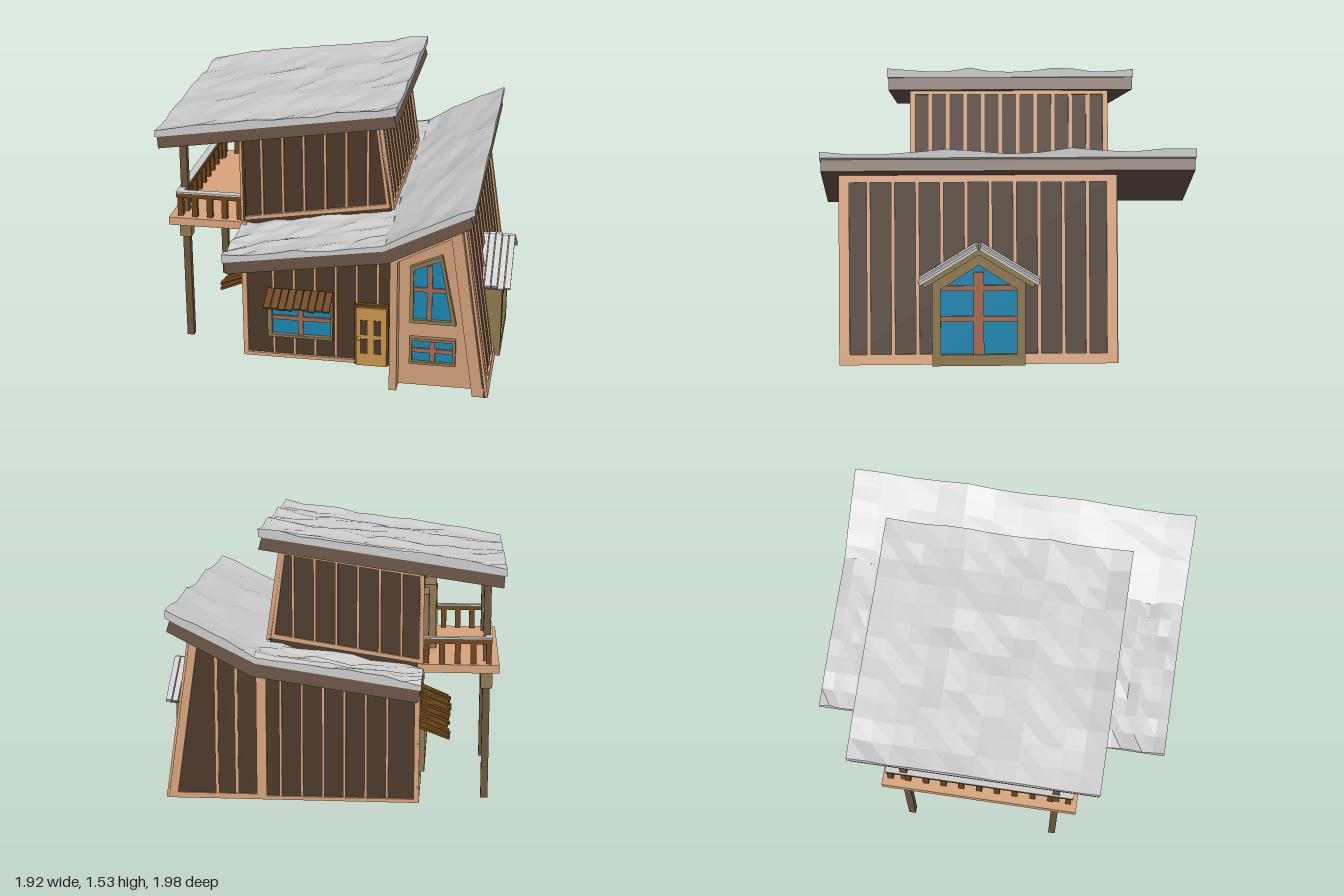
import * as THREE from 'three';

const C = { dark: 0x4a3828, trim: 0xd8a47c, tan: 0xcf9f78, fascia: 0x6b5446, grey: 0xbcbcbc, blue: 0x1a86b0,
  bar: 0xa8684c, olive: 0x8f7850, plank: 0x6b4418, post: 0x6a5438, door: 0xc8944a, knob: 0xe8b020 };
const mats = {};
const mat = c => mats[c] ??= new THREE.MeshStandardMaterial({ color: C[c], flatShading: true });

function add(parent, name, geo, color) {
  const m = new THREE.Mesh(geo, mat(color));
  m.name = name;
  parent.add(m);
  return m;
}
function group(parent, name, x = 0, y = 0, z = 0) {
  const g = new THREE.Group();
  g.name = name;
  g.position.set(x, y, z);
  parent.add(g);
  return g;
}
const box = (p, name, color, x0, x1, y0, y1, z0, z1) => add(p, name,
  new THREE.BoxGeometry(x1 - x0, y1 - y0, z1 - z0).translate((x0 + x1) / 2, (y0 + y1) / 2, (z0 + z1) / 2), color);

// Outline in x/y pushed from z0 to z1, with an optional opening
const toV = pts => pts.map(([x, y]) => new THREE.Vector2(x, y));
function prism(p, name, color, pts, z0, z1, hole) {
  const s = new THREE.Shape(toV(pts));
  if (hole) s.holes.push(new THREE.Path(toV(hole)));
  return add(p, name, new THREE.ExtrudeGeometry(s, { depth: z1 - z0, bevelEnabled: false }).translate(0, 0, z0), color);
}
const rect = (x0, x1, y0, y1) => [[x0, y0], [x1, y0], [x1, y1], [x0, y1]];
const hash = (i, j) => { const s = Math.sin(i * 127.1 + j * 311.7) * 43758.5453; return s - Math.floor(s); };

// Framed window with a cross of glazing bars, facing local +z
function windowUnit(p, outer, inner, z, cx, cy, depth = 0.03, frame = 'olive') {
  const g = group(p, 'window');
  prism(g, 'windowFrame', frame, outer, z, z + depth, inner);
  prism(g, 'glass', 'blue', inner, z, z + depth * 0.4);
  const xs = inner.map(v => v[0]), ys = inner.map(v => v[1]);
  const topAt = Math.max(...ys) - (inner.length === 4 && ys[2] !== ys[3] ? 0.035 : 0.005);
  const z1 = z + depth * 0.7;
  box(g, 'uprightBar', 'bar', cx - 0.014, cx + 0.014, Math.min(...ys), topAt, z, z1);
  box(g, 'crossBar', 'bar', Math.min(...xs), Math.max(...xs) - (topAt < Math.max(...ys) - 0.01 ? 0.03 : 0), cy - 0.012, cy + 0.012, z, z1);
}

// Rectangular wall facing local +x: dark panel, border and studs
function sideWall(p, name, z0, z1, h, n, border = 0.055) {
  const g = group(p, name);
  box(g, 'panel', 'dark', -0.012, 0.002, 0, h, z0, z1);
  box(g, 'sill', 'trim', -0.012, 0.014, 0, border, z0, z1);
  box(g, 'topRail', 'trim', -0.012, 0.014, h - border * 0.7, h, z0, z1);
  for (const z of [z0, z1 - border]) box(g, 'cornerTrim', 'trim', -0.012, 0.014, 0, h, z, z + border);
  for (let i = 1; i < n; i++) {
    const z = z0 + border / 2 + (z1 - z0 - border) * i / n;
    box(g, 'stud', 'trim', -0.01, 0.01, 0, h, z - 0.01, z + 0.01);
  }
  return g;
}

// Row of sloping planks, hinged at y, sticking out along local +z
function awning(p, x0, x1, y, z, reach, drop, n) {
  const g = group(p, 'awning'), w = (x1 - x0) / n, len = Math.hypot(reach, drop);
  for (let i = 0; i < n; i++) {
    const l = len * (0.93 + 0.12 * hash(i, 3));
    const m = add(g, 'awningPlank', new THREE.BoxGeometry(w * 0.9, 0.013, l).translate(0, 0, l / 2), 'plank');
    m.position.set(x0 + w * (i + 0.5), y, z);
    m.rotation.x = Math.atan2(drop, reach) + (hash(i, 8) - 0.5) * 0.06;
  }
}

// Uneven roof covering laid along a profile of x/y points
function covering(p, name, path, z0, z1, nx, nz, thick, amp, rim) {
  const geo = new THREE.BoxGeometry(1, 1, 1, nx, 1, nz), a = geo.attributes.position;
  for (let k = 0; k < a.count; k++) {
    const t = a.getX(k) + 0.5, s = a.getZ(k) + 0.5, i = Math.round(t * nx), j = Math.round(s * nz);
    const x = path[0][0] + t * (path.at(-1)[0] - path[0][0]);
    let n = 0;
    while (n < path.length - 2 && x > path[n + 1][0]) n++;
    const [[xa, ya], [xb, yb]] = [path[n], path[n + 1]];
    let y = ya + (yb - ya) * (x - xa) / (xb - xa);
    const edge = i === 0 || j === 0 || i === nx || j === nz;
    if (a.getY(k) > 0) y += thick + (hash(i, j) - 0.5) * amp + (edge ? rim : 0) + 0.008 * Math.cos(s * 18);
    a.setXYZ(k, x, y, z0 + s * (z1 - z0));
  }
  geo.computeVertexNormals();
  add(p, name, geo, 'grey');
}

function createModel() {
  const root = new THREE.Group();
  root.name = 'cabin';
  const lowY = x => x < 0.35 ? 0.66 + (x + 0.5) * 0.153 : 0.79 + (x - 0.35) * 0.53;

  // Ground floor
  const lower = group(root, 'groundFloor');
  box(lower, 'foundation', 'trim', -0.505, 0.35, 0, 0.02, -0.575, 0.62);
  prism(lower, 'mainWalls', 'dark', [[-0.5, 0], [0.36, 0], [0.36, 0.8], [-0.5, 0.67]], -0.565, 0.61);
  prism(lower, 'wingWalls', 'tan', [[0.35, 0], [0.865, 0], [0.72, 0.99], [0.35, 0.8]], -0.565, 0.81);
  const mainOut = [[-0.505, 0], [0.35, 0], [0.35, 0.79], [-0.505, 0.66]];
  const mainIn = [[-0.485, 0.02], [0.325, 0.02], [0.325, 0.765], [-0.485, 0.64]];
  const wingOut = [[0.35, 0], [0.87, 0], [0.725, 0.99], [0.35, 0.79]];
  const wingIn = [[0.38, 0.03], [0.82, 0.03], [0.69, 0.94], [0.38, 0.775]];
  prism(lower, 'frontTrim', 'trim', mainOut, 0.605, 0.625, mainIn);
  prism(lower, 'backTrim', 'trim', mainOut, -0.58, -0.56, mainIn);
  prism(lower, 'wingBackTrim', 'trim', wingOut, -0.58, -0.56, wingIn);
  prism(lower, 'wingBackPanel', 'dark', wingIn, -0.57, -0.56);
  for (let i = 0; i < 7; i++) {
    const x = -0.455 + i * 0.117;
    if (i) for (const z of [0.605, -0.575]) box(lower, 'stud', 'trim', x - 0.007, x + 0.007, 0.02, lowY(x), z, z + 0.015);
  }
  for (const x of [0.49, 0.6]) box(lower, 'wingStud', 'trim', x - 0.007, x + 0.007, 0.02, lowY(x), -0.576, -0.56);
  prism(lower, 'wingFrame', 'tan', [[0.35, 0], [0.39, 0], [0.39, 0.76], [0.67, 0.91], [0.8, 0], [0.87, 0],
    [0.725, 0.99], [0.35, 0.785]], 0.8, 0.895);
  const right = sideWall(lower, 'rightWall', -0.575, 0.895, 1.0, 11);
  right.position.x = 0.872;
  right.rotation.z = Math.atan2(0.145, 0.99);
  const left = sideWall(lower, 'leftWall', -0.62, 0.575, 0.67, 10, 0.025);
  left.position.x = -0.5;
  left.rotation.y = Math.PI;

  // Front windows and door
  windowUnit(lower, rect(-0.365, 0, 0.145, 0.36), rect(-0.34, -0.01, 0.16, 0.335), 0.62, -0.18, 0.26, 0.04);
  awning(lower, -0.37, 0, 0.42, 0.62, 0.13, 0.06, 9);
  windowUnit(lower, [[0.45, 0.385], [0.7, 0.385], [0.62, 0.785], [0.45, 0.71]],
    [[0.47, 0.405], [0.675, 0.405], [0.61, 0.755], [0.47, 0.695]], 0.81, 0.555, 0.58);
  windowUnit(lower, rect(0.45, 0.7, 0.14, 0.295), rect(0.465, 0.685, 0.155, 0.28), 0.81, 0.575, 0.22);
  const door = group(root, 'door');
  box(door, 'doorFrame', 'plank', 0.12, 0.31, 0, 0.37, 0.61, 0.635);
  box(door, 'doorLeaf', 'door', 0.13, 0.3, 0, 0.355, 0.62, 0.645);
  for (const x of [0.153, 0.228]) for (const y of [0.075, 0.19])
    box(door, 'doorPanel', 'dark', x, x + 0.042, y, y + 0.09, 0.64, 0.649);
  add(door, 'doorKnob', new THREE.SphereGeometry(0.012, 8, 6).translate(0.147, 0.17, 0.655), 'knob');

  // Wide window with awning on the left wall
  const bay = group(root, 'leftWindow', -0.5);
  bay.rotation.y = -Math.PI / 2;
  windowUnit(bay, rect(-0.48, 0.5, 0.15, 0.4), rect(-0.45, 0.47, 0.18, 0.37), 0, 0.01, 0.27, 0.04);
  awning(bay, -0.5, 0.52, 0.412, 0, 0.175, 0.07, 18);

  // Gabled window bay on the right wall, built facing local +z
  const dormer = group(root, 'gabledWindow', 0, 0, 0.16);
  dormer.rotation.y = Math.PI / 2;
  const outline = [[-0.245, 0], [0.245, 0], [0.245, 0.46], [0, 0.62], [-0.245, 0.46]];
  const pane = [[-0.2, 0.06], [0.2, 0.06], [0.2, 0.41], [0, 0.54], [-0.2, 0.41]];
  prism(dormer, 'bayBody', 'olive', outline, 0.73, 0.885);
  prism(dormer, 'bayFrame', 'olive', outline, 0.885, 0.912, pane);
  prism(dormer, 'bayGlass', 'blue', pane, 0.885, 0.892);
  box(dormer, 'uprightBar', 'bar', -0.028, 0.028, 0.06, 0.5, 0.885, 0.903);
  for (const y of [0.25, 0.415]) box(dormer, 'crossBar', 'bar', -0.2, 0.2, y - 0.014, y + 0.014, 0.885, 0.902);
  for (const side of [-1, 1]) {
    const slope = group(dormer, 'bayRoof', 0, 0.625, 0);
    slope.rotation.z = -side * Math.atan2(0.185, 0.3);
    const span = (c, name, l, y0, y1, z0, z1) => box(slope, name, c, side < 0 ? -l : 0, side < 0 ? 0 : l, y0, y1, z0, z1);
    span('olive', 'roofBoard', 0.345, -0.022, 0.004, 0.74, 0.94);
    for (let i = 0; i < 6; i++)
      span('grey', 'roofPlank', 0.35 + 0.02 * hash(i, side), 0.004, 0.018 + 0.012 * hash(i, 5), 0.742 + i * 0.037, 0.774 + i * 0.037);
  }

  // Lower roof
  const low = group(root, 'lowerRoof');
  prism(low, 'roofDeck', 'fascia', [[-0.51, 0.665], [0.35, 0.79], [0.79, 1.02], [0.77, 1.085], [0.335, 0.865], [-0.525, 0.735]], -0.985, 0.985);
  covering(low, 'shingles', [[-0.53, 0.73], [0.335, 0.86]], -0.99, 0.99, 9, 32, 0.028, 0.028, 0.004);
  covering(low, 'roofSheet', [[0.32, 0.855], [0.795, 1.09]], -0.99, 0.99, 6, 12, 0.03, 0.022, 0.004);

  // Upper floor
  const upper = group(root, 'upperFloor');
  const upOut = [[-0.525, 0.78], [0.315, 0.91], [0.245, 1.4], [-0.525, 1.28]];
  const upIn = [[-0.505, 0.805], [0.275, 0.93], [0.218, 1.365], [-0.505, 1.255]];
  prism(upper, 'upperWalls', 'dark', [[-0.515, 0.74], [0.305, 0.87], [0.238, 1.4], [-0.515, 1.28]], -0.555, 0.515);
  for (const z of [0.51, -0.57]) {
    prism(upper, 'upperTrim', 'trim', upOut, z, z + 0.02, upIn);
    for (let i = 0; i < 6; i++) {
      const x = -0.41 + i * 0.117, y = 0.8 + (x + 0.5) * 0.157;
      box(upper, 'stud', 'trim', x - 0.007, x + 0.007, y, y + 0.46, z + 0.003, z + 0.017);
    }
  }
  const upRight = sideWall(upper, 'upperRightWall', -0.57, 0.53, 0.5, 11, 0.03);
  upRight.position.set(0.308, 0.9, 0);
  upRight.rotation.z = Math.atan2(0.07, 0.49);
  const upLeft = sideWall(upper, 'upperLeftWall', -0.53, 0.57, 0.5, 10, 0.025);
  upLeft.position.set(-0.517, 0.78, 0);
  upLeft.rotation.y = Math.PI;
  const balconyWall = group(upper, 'balconyWall', -0.525);
  balconyWall.rotation.y = -Math.PI / 2;
  box(balconyWall, 'balconyDoorFrame', 'olive', -0.13, 0.13, 0.775, 1.14, 0, 0.065);
  box(balconyWall, 'balconyDoor', 'door', -0.1, 0.1, 0.775, 1.11, 0.05, 0.07);
  windowUnit(balconyWall, rect(-0.46, -0.22, 0.9, 1.14), rect(-0.435, -0.245, 0.925, 1.115), 0, -0.34, 1.02);

  // Upper roof
  const top = group(root, 'upperRoof');
  prism(top, 'roofDeck', 'fascia', [[-0.95, 1.22], [0.345, 1.41], [0.325, 1.48], [-0.955, 1.29]], -0.695, 0.645);
  covering(top, 'roofSheet', [[-0.965, 1.285], [0.345, 1.478]], -0.7, 0.65, 12, 12, 0.027, 0.022, 0.012);

  // Balcony with posts and railing
  const balcony = group(root, 'balcony');
  box(balcony, 'deck', 'trim', -0.94, -0.5, 0.73, 0.775, -0.555, 0.54);
  for (const z of [-0.43, 0.42]) {
    box(balcony, 'post', 'post', -0.892, -0.852, 0, 1.23, z - 0.02, z + 0.02);
    box(balcony, 'postBracket', 'olive', -0.905, -0.84, 0.625, 0.73, z - 0.033, z + 0.033);
    box(balcony, 'postCap', 'post', -0.902, -0.842, 1.2, 1.235, z - 0.03, z + 0.03);
  }
  box(balcony, 'outerRail', 'plank', -0.9, -0.865, 0.885, 0.912, -0.53, 0.51);
  box(balcony, 'outerRailCap', 'grey', -0.903, -0.862, 0.912, 0.92, -0.53, 0.51);
  for (let i = 0; i < 11; i++) {
    const z = -0.51 + i * 0.1;
    box(balcony, 'baluster', 'plank', -0.897, -0.867, 0.775, 0.89, z - 0.016, z + 0.016);
  }
  for (const z of [-0.53, 0.48]) {
    box(balcony, 'endRail', 'plank', -0.9, -0.52, 0.885, 0.912, z, z + 0.035);
    box(balcony, 'endRailCap', 'grey', -0.9, -0.52, 0.912, 0.92, z - 0.003, z + 0.038);
    for (let i = 0; i < 4; i++)
      box(balcony, 'baluster', 'plank', -0.815 + i * 0.085, -0.783 + i * 0.085, 0.775, 0.89, z + 0.003, z + 0.032);
  }
  return root;
}

export { createModel };
